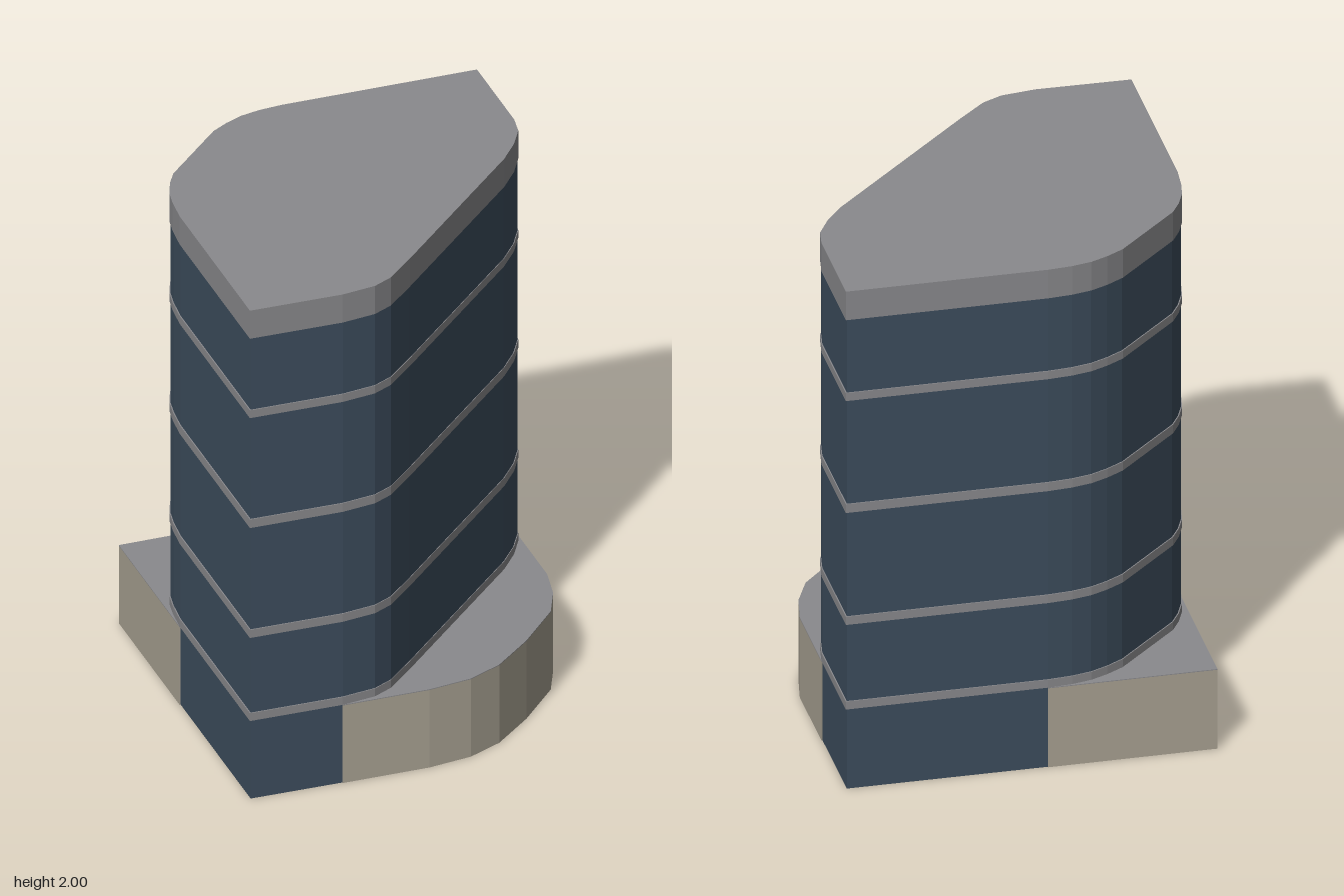
import * as THREE from 'three';

// Plan outlines as [x, z]
const frontCurve = [[-0.33, 0.683], [-0.2, 0.664], [-0.125, 0.625], [-0.015, 0.52],
  [0.55, -0.045], [0.62, -0.135], [0.667, -0.22], [0.681, -0.3]];
const backCurve = [[-0.06, -0.685], [-0.15, -0.677], [-0.225, -0.66], [-0.29, -0.63], [-0.355, -0.59],
  [-0.595, -0.35], [-0.63, -0.29], [-0.658, -0.22], [-0.671, -0.15], [-0.681, -0.05]];
const frontCorner = [0.681, -0.687];
const towerPlan = [[-0.681, 0.68], ...frontCurve, frontCorner, ...backCurve];
const podiumEdge = [[0.681, 0.04], [0.655, 0.175], [0.6, 0.3], [0.445, 0.47],
  [0.295, 0.6], [0.165, 0.66], [0.0, 0.683]];
const INSET = 0.994;
const inset = (plan) => plan.map(([x, z]) => [x * INSET, z * INSET]);

export function createModel() {
  const group = new THREE.Group();
  group.name = 'building';
  const material = (name, color) => {
    const m = new THREE.MeshStandardMaterial({ color });
    m.name = name;
    return m;
  };
  const glass = material('blue glass', 0x3d4d5d);
  const concrete = material('grey concrete', 0x8a8a8d);
  const stone = material('beige stone', 0xa8a192);

  // Upright prism over a plan, from y0 to y1
  function prism(name, plan, y0, y1, mat) {
    const shape = new THREE.Shape(plan.map(([x, z]) => new THREE.Vector2(x, -z)));
    const geo = new THREE.ExtrudeGeometry(shape, { depth: y1 - y0, bevelEnabled: false });
    geo.rotateX(-Math.PI / 2);
    const mesh = new THREE.Mesh(geo, mat);
    mesh.name = name;
    mesh.position.y = y0;
    group.add(mesh);
  }

  // Glazed tower, floor bands and roof parapet
  prism('tower', inset(towerPlan), 0, 1.9, glass);
  [[0.32, 0.352], [0.66, 0.693], [1.11, 1.145], [1.56, 1.592]].forEach(([a, b], i) =>
    prism('floorBand' + (i + 1), towerPlan, a, b, concrete));
  prism('roof', towerPlan, 1.885, 2, concrete);

  // Podium wings filling the two cut corners, each with a thin roof
  const wings = {
    frontPodium: [frontCurve[0], ...inset(frontCurve), frontCurve[frontCurve.length - 1], ...podiumEdge],
    backPodium: [backCurve[0], ...inset(backCurve), backCurve[backCurve.length - 1], [-0.681, -0.681]],
  };
  for (const [name, plan] of Object.entries(wings)) {
    prism(name, plan, 0, 0.317, stone);
    prism(name + 'Roof', plan, 0.317, 0.32, concrete);
  }
  return group;
}
